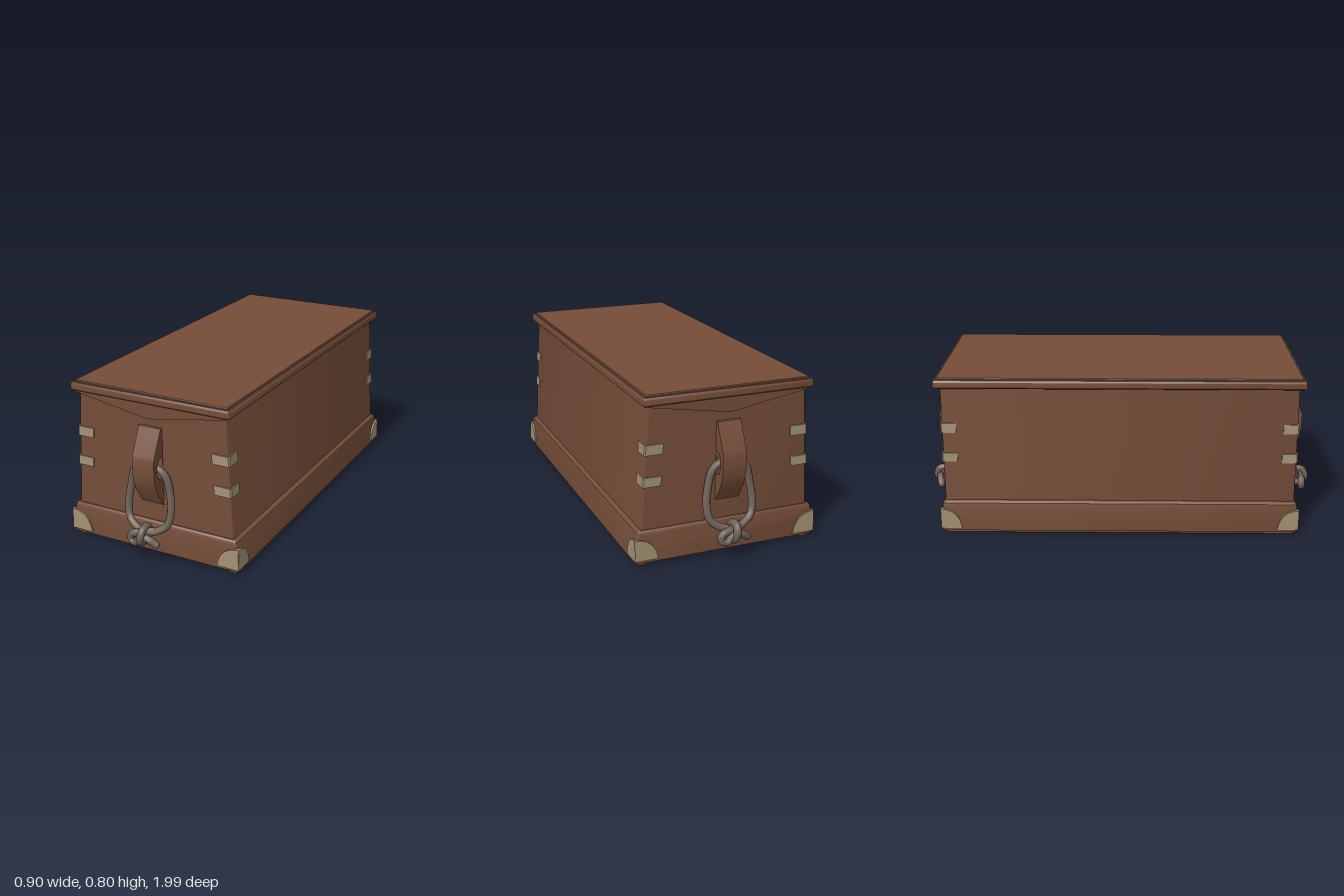
import * as THREE from 'three';
import { toCreasedNormals } from 'three/addons/utils/BufferGeometryUtils.js';

const paint = (name, color) => {
  const m = new THREE.MeshStandardMaterial({ color });
  m.name = name;
  return m;
};

// Closed solid through rounded-rectangle levels [halfX, halfZ, y]
function loft(levels, r) {
  const pos = [], idx = [], seg = 4, n = 4 * (seg + 1);
  for (const [hx, hz, y] of levels) {
    for (let c = 0; c < 4; c++) {
      const sx = c === 0 || c === 3 ? 1 : -1, sz = c < 2 ? -1 : 1;
      for (let i = 0; i <= seg; i++) {
        const a = (c + i / seg) * Math.PI / 2;
        pos.push(sx * (hx - r) + r * Math.cos(a), y, sz * (hz - r) - r * Math.sin(a));
      }
    }
  }
  const top = (levels.length - 1) * n;
  for (let l = 0; l < top; l += n) {
    for (let i = 0; i < n; i++) {
      const a = l + i, b = l + (i + 1) % n;
      idx.push(a, b, b + n, a, b + n, a + n);
    }
  }
  for (let i = 1; i < n - 1; i++) idx.push(0, i + 1, i, top, top + i, top + i + 1);
  const g = new THREE.BufferGeometry();
  g.setAttribute('position', new THREE.Float32BufferAttribute(pos, 3));
  g.setIndex(idx);
  return toCreasedNormals(g, 0.6);
}

const shapeOf = (pts) => new THREE.Shape(pts.map(([x, y]) => new THREE.Vector2(x, y)));
const extrude = (shape, depth) =>
  new THREE.ExtrudeGeometry(shape, { depth, bevelEnabled: false, curveSegments: 10 });

export function createModel() {
  const wood = paint('brown wood', 0x754d39);
  const brass = paint('dull brass', 0xa39274);
  const rope = paint('grey rope', 0x6e6156);
  const model = new THREE.Group();
  model.name = 'chest';
  const add = (parent, name, geo, mat) => {
    const m = new THREE.Mesh(geo, mat);
    m.name = name;
    parent.add(m);
    return m;
  };

  // Tapered body, moulded plinth and stepped lid
  add(model, 'body', loft([[0.416, 0.86, 0.15], [0.38, 0.86, 0.76]], 0.008), wood);
  add(model, 'plinth', loft([
    [0.435, 0.865, 0.018], [0.446, 0.876, 0.022], [0.446, 0.876, 0.035], [0.443, 0.876, 0.09],
    [0.438, 0.874, 0.15], [0.435, 0.871, 0.165], [0.425, 0.864, 0.174], [0.41, 0.85, 0.175],
  ], 0.012), wood);
  add(model, 'lid', loft([
    [0.403, 0.883, 0.748], [0.41, 0.89, 0.755], [0.41, 0.89, 0.78], [0.404, 0.885, 0.789],
    [0.395, 0.876, 0.789], [0.395, 0.876, 0.794], [0.391, 0.872, 0.798],
  ], 0.008), wood);

  // Runners under the long sides
  for (const s of [-1, 1]) {
    const runner = add(model, 'runner', loft([
      [0.014, 0.855, 0], [0.02, 0.862, 0.006], [0.02, 0.862, 0.022]], 0.006), wood);
    runner.position.x = s * 0.41;
  }

  // Brass bands and caps, made for one corner and mirrored to the rest
  const bandShape = shapeOf([[0.32, -0.84], [0.32, -0.866], [0.006, -0.866]]);
  function bandGeometry(y0, y1) {
    const hx = (y) => 0.416 - (y - 0.15) * 0.059;
    const w = 0.422;
    const s = shapeOf([
      [0.335, -0.84], [0.335, -0.867], [w - 0.006, -0.867], [w, -0.861],
      [w, -0.79], [w - 0.02, -0.79], [w - 0.02, -0.84],
    ]);
    const g = extrude(s, y1 - y0).rotateX(-Math.PI / 2).translate(0, y0, 0);
    const p = g.attributes.position;
    for (let i = 0; i < p.count; i++) p.setX(i, p.getX(i) + hx(p.getY(i)) - 0.416);
    g.computeVertexNormals();
    return g;
  }
  const bands = [bandGeometry(0.375, 0.42), bandGeometry(0.522, 0.569)];
  // Quarter-round plate: inner edge a, outer edge b
  const capShape = (a, b) => {
    const s = new THREE.Shape();
    s.moveTo(a, 0.035);
    s.lineTo(b, 0.035);
    s.lineTo(b - 0.004, 0.138);
    s.bezierCurveTo(b - 0.06, 0.135, a + 0.008, 0.105, a, 0.035);
    return s;
  };
  const capFront = extrude(capShape(0.34, 0.451), 0.02).translate(0, 0, 0.863);
  const capSide = extrude(capShape(0.78, 0.883), 0.02).rotateY(-Math.PI / 2).translate(0.451, 0, 0);
  for (const sx of [-1, 1]) {
    for (const sz of [-1, 1]) {
      const corner = new THREE.Group();
      corner.name = 'cornerFittings';
      corner.scale.set(sx, 1, sz);
      bands.forEach((g) => add(corner, 'cornerBand', g, brass));
      add(corner, 'cornerCapEnd', capFront, brass);
      add(corner, 'cornerCapSide', capSide, brass);
      model.add(corner);
    }
  }

  // End fittings: lid gable, carved handle lug and knotted rope ring
  const gable = extrude(shapeOf([
    [-0.385, 0.752], [-0.385, 0.745], [-0.025, 0.684], [0, 0.681],
    [0.025, 0.684], [0.385, 0.745], [0.385, 0.752]]), 0.04).translate(0, 0, 0.845);
  const lugShape = shapeOf([
    [0.85, 0.265], [0.866, 0.265], [0.916, 0.345], [0.932, 0.39], [0.937, 0.43],
    [0.937, 0.5], [0.932, 0.515], [0.872, 0.638], [0.85, 0.64]]);
  lugShape.holes.push(new THREE.Path([
    [0.862, 0.39], [0.862, 0.5], [0.89, 0.5], [0.91, 0.475], [0.91, 0.43], [0.895, 0.4],
  ].map(([z, y]) => new THREE.Vector2(z, y))));
  const lug = toCreasedNormals(
    extrude(lugShape, 0.114).rotateY(-Math.PI / 2).translate(0.057, 0, 0), 0.5);

  const tube = (pts, r, closed) => new THREE.TubeGeometry(
    new THREE.CatmullRomCurve3(pts.map((p) => new THREE.Vector3(...p)), closed),
    closed ? 72 : 32, r, 10, closed);
  const half = [[0.06, 0.445, 0.886], [0.087, 0.41, 0.882], [0.103, 0.34, 0.882],
    [0.113, 0.26, 0.892], [0.1, 0.19, 0.908], [0.055, 0.157, 0.925]];
  const ring = tube([[0, 0.455, 0.887], ...half, [0, 0.145, 0.935],
    ...half.map(([x, y, z]) => [-x, y, z]).reverse()], 0.018, true);
  const knotLoop = tube([[0.002, 0.172, 0.925], [0.004, 0.168, 0.965], [0, 0.135, 0.98],
    [-0.006, 0.105, 0.965], [-0.004, 0.105, 0.925], [0, 0.14, 0.905]], 0.018, true);
  const knotTail = tube([[0.04, 0.155, 0.925], [-0.02, 0.145, 0.95], [-0.06, 0.133, 0.955],
    [-0.066, 0.105, 0.955], [-0.04, 0.095, 0.96], [-0.005, 0.13, 0.965],
    [0.03, 0.125, 0.96], [0.064, 0.102, 0.95]], 0.018, false);
  const tailEnd = new THREE.SphereGeometry(0.018, 10, 8);

  for (const turn of [0, Math.PI]) {
    const end = new THREE.Group();
    end.name = turn ? 'backEnd' : 'frontEnd';
    end.rotation.y = turn;
    add(end, 'lidGable', gable, wood);
    add(end, 'handleLug', lug, wood);
    add(end, 'ropeRing', ring, rope);
    add(end, 'knotLoop', knotLoop, rope);
    add(end, 'knotTail', knotTail, rope);
    const tip = add(end, 'knotTip', tailEnd, rope);
    tip.position.set(0.064, 0.102, 0.95);
    tip.scale.setScalar(0.98);
    model.add(end);
  }
  return model;
}
